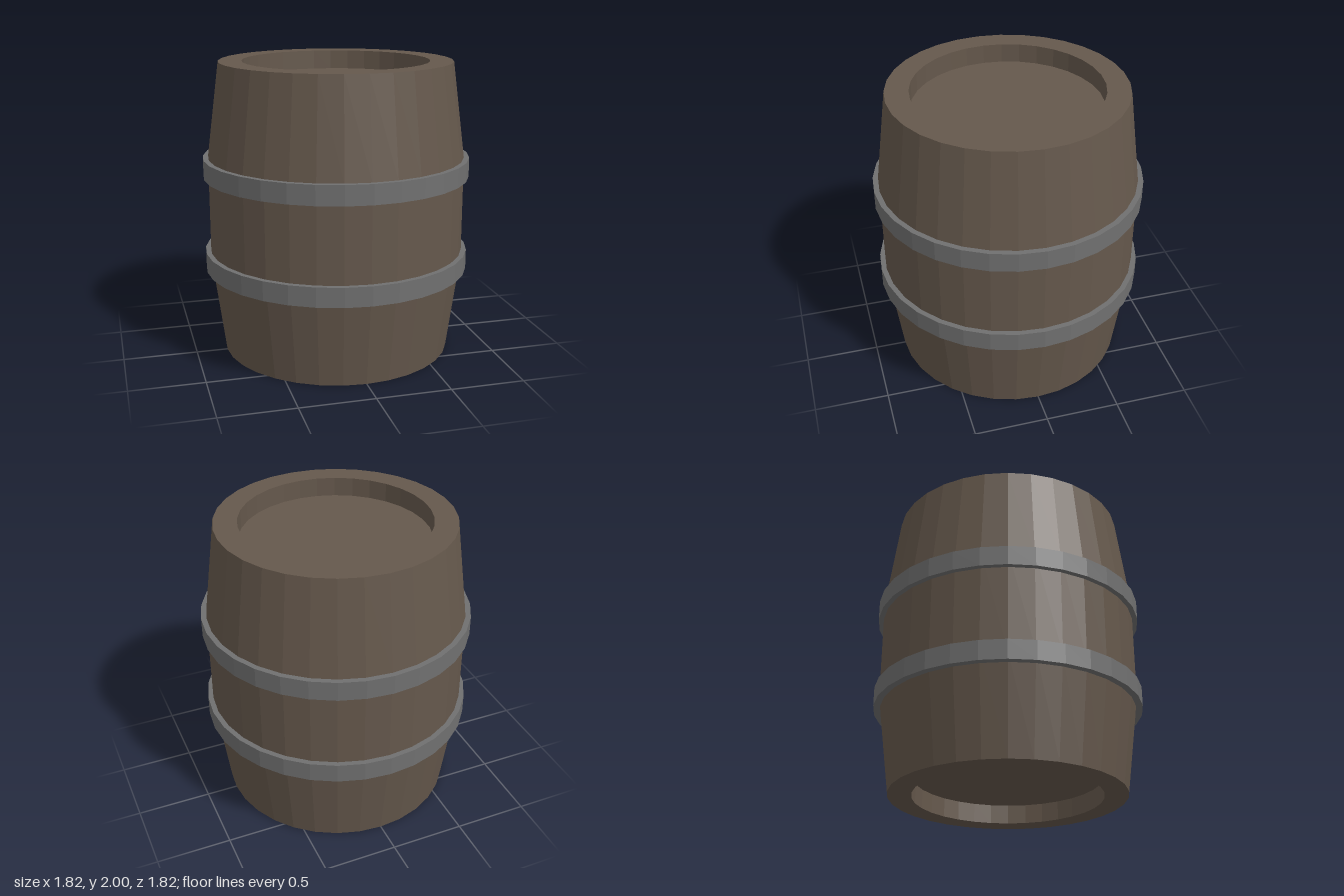
import * as THREE from 'three';

const SIDES = 32;

// Faceted solid of revolution; the outer profile runs bottom to top
function turned(name, profile, color) {
  const points = profile.map(([r, y]) => new THREE.Vector2(r, y));
  const material = new THREE.MeshStandardMaterial({ color, flatShading: true });
  const mesh = new THREE.Mesh(new THREE.LatheGeometry(points, SIDES), material);
  mesh.name = name;
  return mesh;
}

export function createModel() {
  const barrel = new THREE.Group();
  barrel.name = 'barrel';

  // Wooden body: tapered ends, straight middle, recessed lid and base
  const lower = [[0, 0.13], [0.63, 0.13], [0.63, 0], [0.787, 0], [0.873, 0.65]];
  const upper = lower.map(([r, y]) => [r, 2 - y]).reverse();
  barrel.add(turned('woodenBody', [...lower, ...upper], 0x65584c));

  // Two metal hoops
  const inner = 0.855, outer = 0.908, half = 0.066;
  const hoop = [[inner, -half], [outer, -half], [outer, half], [inner, half], [inner, -half]];
  for (const [name, y] of [['lowerHoop', 0.644], ['upperHoop', 1.291]]) {
    const ring = turned(name, hoop, 0x707070);
    ring.position.y = y;
    barrel.add(ring);
  }
  return barrel;
}
